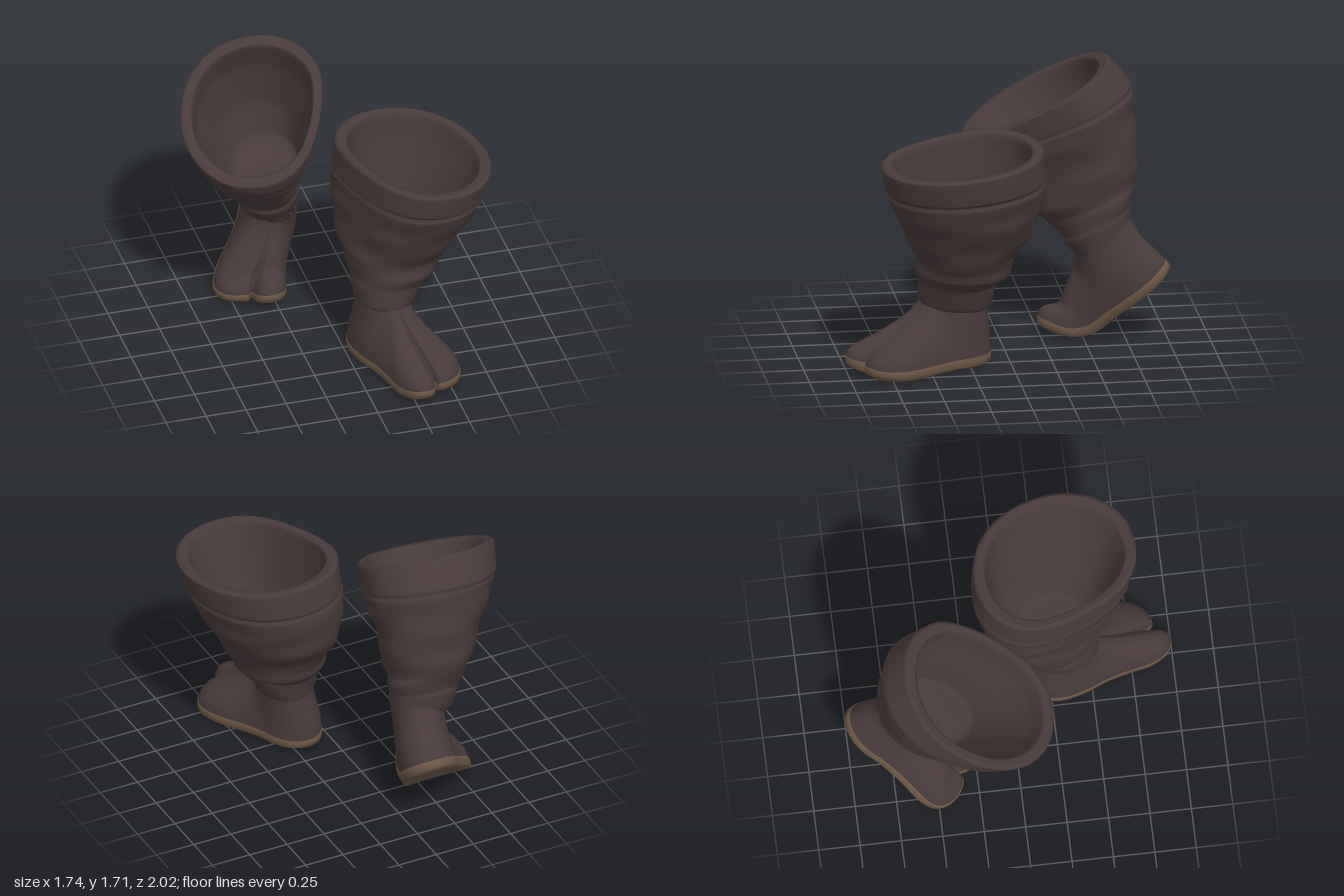
import * as THREE from 'three';

const N = 96;
const { lerp, clamp, smoothstep } = THREE.MathUtils;

const cloth = new THREE.MeshStandardMaterial({ color: 0x483a3a });
cloth.name = 'dark brown cloth';
const leather = new THREE.MeshStandardMaterial({ color: 0x6b5645 });
leather.name = 'sole brown';

// Sample a smooth closed outline given as [x, z] pairs
function outline(points) {
  const curve = new THREE.CatmullRomCurve3(points.map(([x, z]) => new THREE.Vector3(x, 0, z)), true);
  return Array.from({ length: N }, (_, i) => curve.getPoint(i / N));
}

// Skin closed rings of [x, y, z]; flip for mirrored parts
function loft(name, rings, material, flip) {
  const index = [];
  for (let j = 0; j < rings.length - 1; j++) {
    for (let i = 0; i < N; i++) {
      const k = (i + 1) % N;
      const a = j * N + i, b = j * N + k, c = a + N, d = b + N;
      if (flip) index.push(a, c, b, b, c, d);
      else index.push(a, b, c, b, d, c);
    }
  }
  const geo = new THREE.BufferGeometry();
  geo.setAttribute('position', new THREE.Float32BufferAttribute(rings.flat(2), 3));
  geo.setIndex(index);
  geo.computeVertexNormals();
  const mesh = new THREE.Mesh(geo, material);
  mesh.name = name;
  return mesh;
}

// Unit outline of the flared rim
const rimShape = outline([
  [0.1, 1], [0.55, 0.9], [0.85, 0.63], [0.99, 0.24], [0.95, -0.16], [0.75, -0.57], [0.41, -0.87],
  [-0.03, -1], [-0.47, -0.96], [-0.82, -0.76], [-1, -0.42], [-0.95, -0.02], [-0.78, 0.37], [-0.56, 0.7], [-0.27, 0.92],
]);

// Split-toe foot outline
const footShape = outline([
  [0.31, 1], [0.36, 0.97], [0.38, 0.91], [0.39, 0.85], [0.42, 0.9], [0.49, 0.88], [0.56, 0.81], [0.585, 0.72],
  [0.55, 0.6], [0.45, 0.45], [0.38, 0.33], [0.335, 0.22], [0.265, 0.14], [0.18, 0.11], [0.1, 0.13], [0.04, 0.2],
  [0.02, 0.3], [0.05, 0.45], [0.11, 0.6], [0.15, 0.75], [0.18, 0.88], [0.24, 0.98],
]);

// Legging rows, hem to rim then down the inside: y, x min, x max, z min, z max, slope along z
const leftRows = [
  [0.37, 0.07, 0.38, 0.14, 0.54, 0.1], [0.39, 0.05, 0.41, 0.115, 0.555, 0.1], [0.5, 0.035, 0.46, 0.09, 0.56, 0.08],
  [0.53, 0.035, 0.475, 0.085, 0.56, 0.08], [0.6, 0.01, 0.565, 0.01, 0.575, 0.05], [0.66, 0.01, 0.58, -0.005, 0.575, 0.03],
  [0.72, -0.01, 0.61, -0.04, 0.585, 0], [0.85, -0.02, 0.68, -0.13, 0.645, 0], [1, -0.025, 0.76, -0.175, 0.715, 0],
  [1.14, -0.03, 0.82, -0.195, 0.77, -0.03], [1.17, -0.02, 0.815, -0.185, 0.765, -0.03], [1.19, -0.02, 0.835, -0.195, 0.785, -0.03],
  [1.34, -0.01, 0.87, -0.18, 0.81, -0.05], [1.355, 0.01, 0.85, -0.16, 0.79, -0.05], [1.345, 0.06, 0.8, -0.11, 0.74, -0.05],
  [1.2, 0.06, 0.75, -0.1, 0.69, -0.04], [0.8, 0.06, 0.57, -0.04, 0.57, 0], [0.6, 0.09, 0.48, 0.06, 0.5, 0.05],
  [0.58, 0.28, 0.28, 0.28, 0.28, 0],
];
const rightRows = [
  [0.56, 0.05, 0.37, -0.77, -0.49, -0.7], [0.6, 0.035, 0.4, -0.79, -0.47, -0.65], [0.7, 0.025, 0.45, -0.8, -0.39, -0.52],
  [0.73, 0.03, 0.46, -0.795, -0.385, -0.5], [0.8, 0.02, 0.52, -0.81, -0.32, -0.46], [0.84, 0.03, 0.535, -0.82, -0.29, -0.45],
  [0.91, 0.01, 0.58, -0.84, -0.21, -0.45], [1.06, 0, 0.67, -0.83, -0.08, -0.42], [1.21, -0.03, 0.76, -0.82, 0.05, -0.43],
  [1.3, -0.05, 0.815, -0.81, 0.12, -0.44], [1.32, -0.04, 0.815, -0.8, 0.13, -0.44], [1.34, -0.045, 0.84, -0.8, 0.16, -0.45],
  [1.45, -0.04, 0.875, -0.68, 0.2, -0.56], [1.465, -0.02, 0.855, -0.66, 0.18, -0.56], [1.455, 0.025, 0.805, -0.61, 0.14, -0.56],
  [1.3, 0.02, 0.75, -0.69, 0.06, -0.46], [1.05, 0.05, 0.6, -0.74, -0.13, -0.42], [0.85, 0.06, 0.47, -0.72, -0.29, -0.45],
  [0.83, 0.27, 0.27, -0.5, -0.5, 0],
];

function legging(name, rows, side) {
  const rings = [];
  const steps = 5;
  for (let s = 0; s <= (rows.length - 1) * steps; s++) {
    const u = s / steps;
    const j = Math.min(Math.floor(u), rows.length - 2);
    const [y, x0, x1, z0, z1, slope] = rows[j].map((v, n) => lerp(v, rows[j + 1][n], u - j));
    const round = 1 - clamp((y - rows[0][0]) / 0.5, 0, 1);
    // Slanting folds, only on the outer cloth below the cuff
    const amp = 0.005 * smoothstep(u, 1, 4) * (1 - smoothstep(u, 8, 9.5));
    rings.push(rimShape.map((p) => {
      const a = Math.atan2(p.x, p.z), r = Math.hypot(p.x, p.z);
      const k = lerp(1, 1 / r, round);
      const fold = amp * (Math.sin(24 * y + 2 * a) + 0.7 * Math.sin(33 * y - 3 * a + 1));
      const dx = p.x * k * (x1 - x0) / 2 + fold * Math.sin(a);
      const dz = p.z * k * (z1 - z0) / 2 + fold * Math.cos(a);
      return [side * ((x0 + x1) / 2 + dx), y - 0.06 * dx + slope * dz, (z0 + z1) / 2 + dz];
    }));
  }
  return loft(name, rings, cloth, side < 0);
}

// Flat foot stays put; the stepping foot lifts its heel, bends at the toes and turns its heel inward
const planted = (x, y, z) => [x, y, z];
function stepping(x, y, z) {
  const a = 0.7 * (1 - smoothstep(z - 0.4 * y, 0.5, 0.93));
  const dz = (z - 0.72) * (z < 0.72 ? 1.06 : 1), dy = y - 0.02;
  const turn = 0.07 * Math.min(0, dz);
  const lean = 0.25 * Math.max(0, y - 0.25);
  return [-x - turn, 0.04 + dy * Math.cos(a) - dz * Math.sin(a), -0.52 - lean + dz * Math.cos(a) + dy * Math.sin(a)];
}

const toeSpring = (z) => 0.9 * Math.max(0, z - 0.8) ** 2;

function foot(name, place, flip) {
  const group = new THREE.Group();
  group.name = name;

  // Upper: each outline point climbs a cubic curve to the ankle
  const upper = [];
  for (let s = 0; s <= 18; s++) {
    const t = s / 18, q = 1 - t;
    const w = [q ** 3, 3 * q * q * t, 3 * q * t * t, t ** 3];
    upper.push(footShape.map((p) => {
      const a = Math.atan2(p.x - 0.22, p.z - 0.335);
      const ax = 0.22 + 0.155 * Math.sin(a), az = 0.335 + 0.2 * Math.cos(a);
      const groove = Math.exp(-(((a - 0.29) / 0.06) ** 2));
      const x = p.x * (w[0] + w[1]) + lerp(ax, p.x, 0.17) * w[2] + ax * w[3];
      const z = p.z * (w[0] + w[1]) + lerp(az, p.z, 0.17) * w[2] + az * w[3];
      const y = 0.055 * w[0] + (0.2 - 0.06 * groove) * w[1] + 0.24 * w[2] + 0.45 * w[3];
      return place(x, y + toeSpring(z), z);
    }));
  }
  group.add(loft('upper', upper, cloth, flip));

  // Sole: flat bottom with a rounded rim
  const soleRows = [[0, 0.01], [0.3, 0.008], [0.6, 0.004], [0.93, 0], [1.005, 0.015], [1.02, 0.04], [1.015, 0.06], [0.98, 0.07]];
  const sole = soleRows.map(([k, y]) => footShape.map((p) => {
    const x = 0.28 + (p.x - 0.28) * k, z = 0.52 + (p.z - 0.52) * Math.min(k, 1.005);
    return place(x, y + toeSpring(z), z);
  }));
  group.add(loft('sole', sole, leather, flip));
  return group;
}

export function createModel() {
  const model = new THREE.Group();
  model.name = 'pair of boots';
  model.add(
    legging('leftLegging', leftRows, 1),
    legging('rightLegging', rightRows, -1),
    foot('leftFoot', planted, false),
    foot('rightFoot', stepping, true),
  );
  return model;
}
